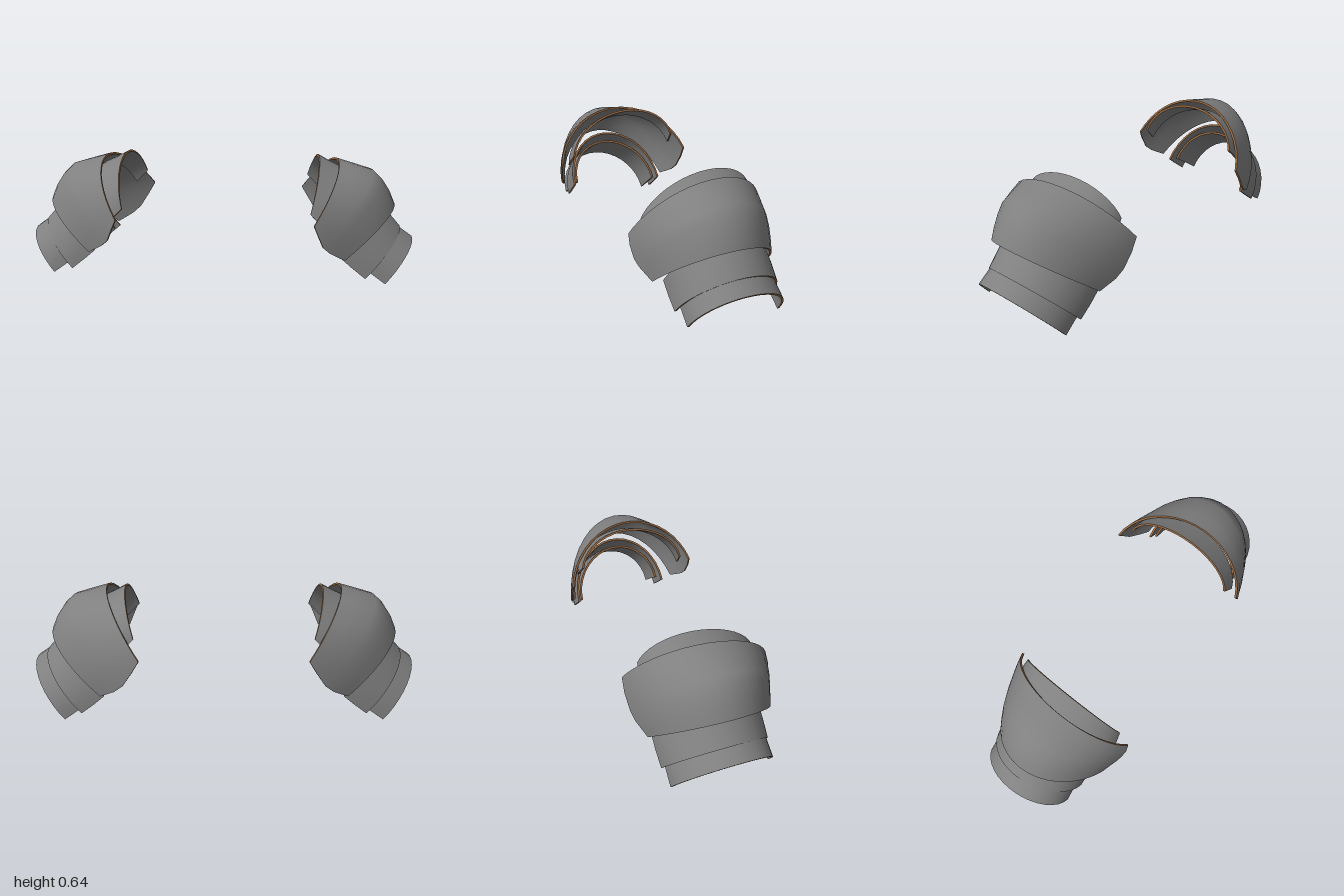
import * as THREE from 'three';

const plateMat = new THREE.MeshStandardMaterial({ color: 0x808080 });
plateMat.name = 'greyPlate';
const rimMat = new THREE.MeshStandardMaterial({ color: 0x94663f });
rimMat.name = 'brownRim';

const SEG = 18;
const THICK = 0.011;

// Arm frame: u runs down the arm, v points up and out from it.
const toWorld = (u, v, z, s) => [s * (0.78 * u + 0.62 * v), -0.62 * u + 0.78 * v, z];

// Each row is an arch: [crest u, crest v, foot u, foot v, half width, front-to-back skew of u].
const PLATES = [
  { name: 'domePlate', arc: 75, z: 0, tilt: 0.045, rows: [
    [0.09, 0.862, 0.12, 0.582, 0.355, 0.09],
    [0.16, 0.892, 0.18, 0.555, 0.357, 0.06],
    [0.26, 0.934, 0.25, 0.525, 0.347, 0.02],
    [0.32, 0.928, 0.30, 0.522, 0.335, 0],
    [0.39, 0.905, 0.345, 0.528, 0.318, 0],
    [0.454, 0.87, 0.39, 0.535, 0.302, 0]] },
  { name: 'neckBand', arc: 82, z: 0.002, tilt: -0.06, rows: [
    [0.007, 0.807, 0.085, 0.635, 0.287, 0.1],
    [0.07, 0.818, 0.13, 0.63, 0.293, 0.1],
    [0.14, 0.835, 0.18, 0.62, 0.297, 0.1]] },
  { name: 'upperArmBand', arc: 90, z: -0.018, tilt: 0.06, rows: [
    [0.395, 0.82, 0.39, 0.515, 0.257, 0],
    [0.46, 0.812, 0.46, 0.512, 0.258, 0],
    [0.562, 0.793, 0.55, 0.511, 0.255, 0]] },
  { name: 'lowerArmBand', arc: 90, z: -0.02, tilt: 0.1, rows: [
    [0.42, 0.775, 0.42, 0.53, 0.232, 0],
    [0.54, 0.784, 0.54, 0.538, 0.238, 0],
    [0.65, 0.79, 0.65, 0.542, 0.241, 0]] },
];

function meshFrom(positions, index, material, name) {
  const geo = new THREE.BufferGeometry();
  geo.setAttribute('position', new THREE.Float32BufferAttribute(positions, 3));
  geo.setIndex(index);
  geo.computeVertexNormals();
  const mesh = new THREE.Mesh(geo, material);
  mesh.name = name;
  return mesh;
}

function curvedPlate({ name, arc, z, tilt, rows }, s) {
  const group = new THREE.Group();
  group.name = name;
  const T = THREE.MathUtils.degToRad(arc);
  const cols = SEG + 1;

  // Outer skin, swept foot to foot over each arch
  const outer = [];
  for (const [cu, cv, fu, fv, w, skew] of rows) {
    for (let j = 0; j < cols; j++) {
      const a = T * (2 * j / SEG - 1);
      const h = (Math.cos(a) - Math.cos(T)) / (1 - Math.cos(T));
      const dz = w * Math.sin(a) / Math.sin(T);
      const u = fu + (cu - fu) * h + skew * dz;
      const v = fv + (cv - fv) * h + tilt * dz;
      outer.push(...toWorld(u, v, z + dz, s));
    }
  }
  const outIndex = [], inIndex = [];
  const quad = (list, a, b, c, d, flip) =>
    flip ? list.push(a, c, b, a, d, c) : list.push(a, b, c, a, c, d);
  for (let i = 0; i < rows.length - 1; i++) {
    for (let j = 0; j < SEG; j++) {
      const a = i * cols + j, b = a + 1, c = b + cols, d = a + cols;
      quad(outIndex, a, b, c, d, s > 0);
      quad(inIndex, a, b, c, d, s < 0);
    }
  }
  const skin = meshFrom(outer, outIndex, plateMat, name + 'Outside');

  // Inner skin, offset along the normals
  const n = skin.geometry.attributes.normal.array;
  const inner = outer.map((p, k) => p - n[k] * THICK);

  // Rim closing the border between both skins
  const border = [];
  const last = rows.length - 1;
  for (let j = 0; j < SEG; j++) border.push(j);
  for (let i = 0; i < last; i++) border.push(i * cols + SEG);
  for (let j = SEG; j > 0; j--) border.push(last * cols + j);
  for (let i = last; i > 0; i--) border.push(i * cols);
  const rimPos = [], rimIndex = [];
  border.forEach((a, k) => {
    const b = border[(k + 1) % border.length];
    const base = rimPos.length / 3;
    for (const [src, q] of [[outer, a], [outer, b], [inner, b], [inner, a]]) {
      rimPos.push(...src.slice(q * 3, q * 3 + 3));
    }
    quad(rimIndex, base, base + 1, base + 2, base + 3, s < 0);
  });

  group.add(skin,
    meshFrom(inner, inIndex, plateMat, name + 'Inside'),
    meshFrom(rimPos, rimIndex, rimMat, name + 'Rim'));
  return group;
}

export function createModel() {
  const model = new THREE.Group();
  model.name = 'shoulderArmour';
  for (const s of [1, -1]) {
    const side = new THREE.Group();
    side.name = s > 0 ? 'leftShoulder' : 'rightShoulder';
    for (const plate of PLATES) side.add(curvedPlate(plate, s));
    model.add(side);
  }
  return model;
}
